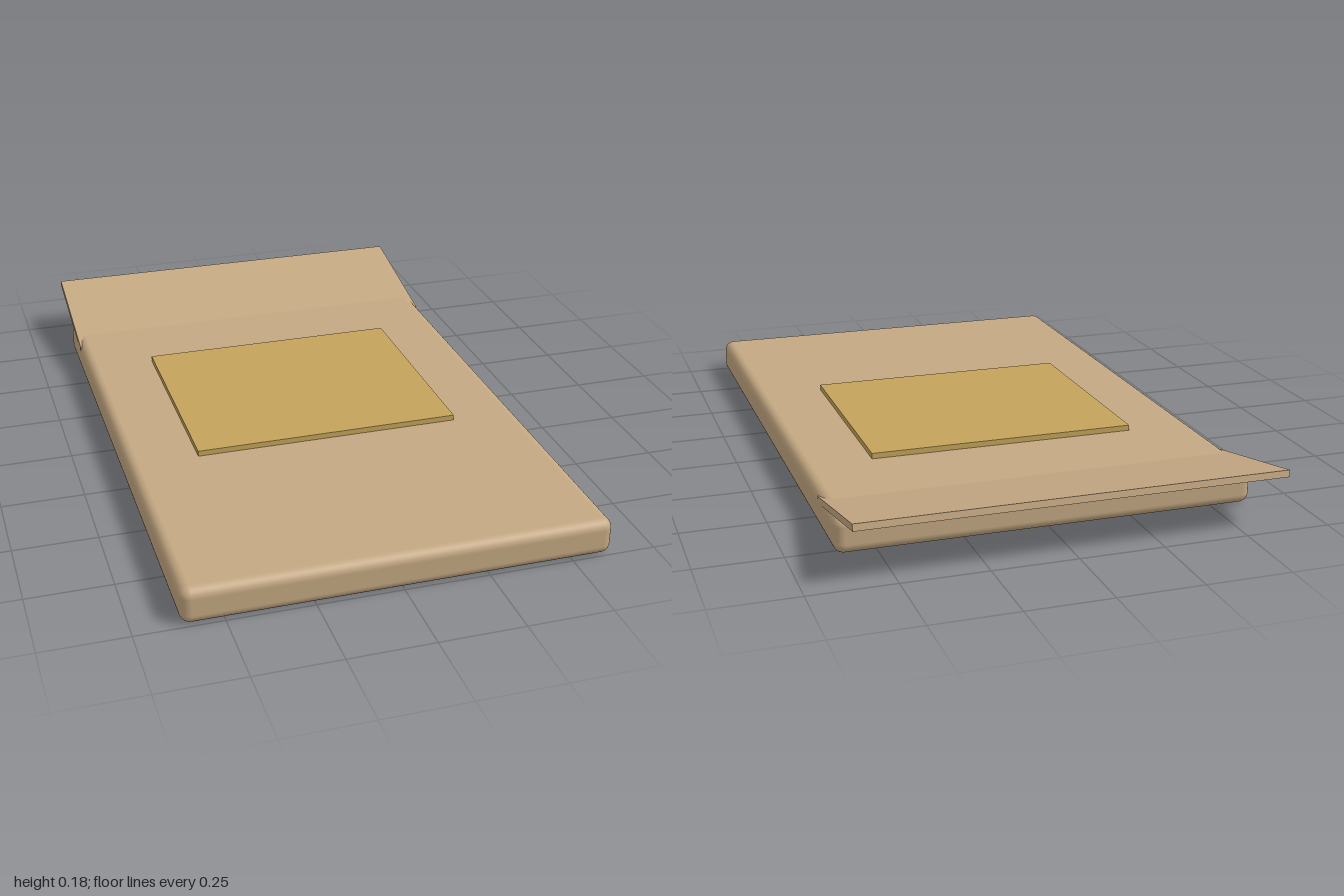
import * as THREE from 'three';
import { RoundedBoxGeometry } from 'three/addons/geometries/RoundedBoxGeometry.js';

export function createModel() {
  const group = new THREE.Group();
  const paper = new THREE.MeshStandardMaterial({ color: 0xc4a882 });
  paper.name = 'kraftPaper';
  const gold = new THREE.MeshStandardMaterial({ color: 0xc4a35a });
  gold.name = 'goldLabel';

  const add = (name, geometry, material, x, y, z) => {
    const mesh = new THREE.Mesh(geometry, material);
    mesh.name = name;
    mesh.position.set(x, y, z);
    group.add(mesh);
    return mesh;
  };

  // Padded pouch lying flat, with softly rounded edges
  add('pouch', new RoundedBoxGeometry(1.24, 0.11, 1.79, 4, 0.03), paper, 0, 0.055, 0.105);

  // Flat label standing slightly proud of the pouch
  add('label', new THREE.BoxGeometry(0.82, 0.02, 0.69), gold, 0, 0.117, -0.035);

  // Open flap, tilted up towards the back
  const flap = add('flap', new THREE.BoxGeometry(1.24, 0.02, 0.42), paper, 0, 0.1285, -0.792);
  flap.rotation.x = 0.2;

  return group;
}
